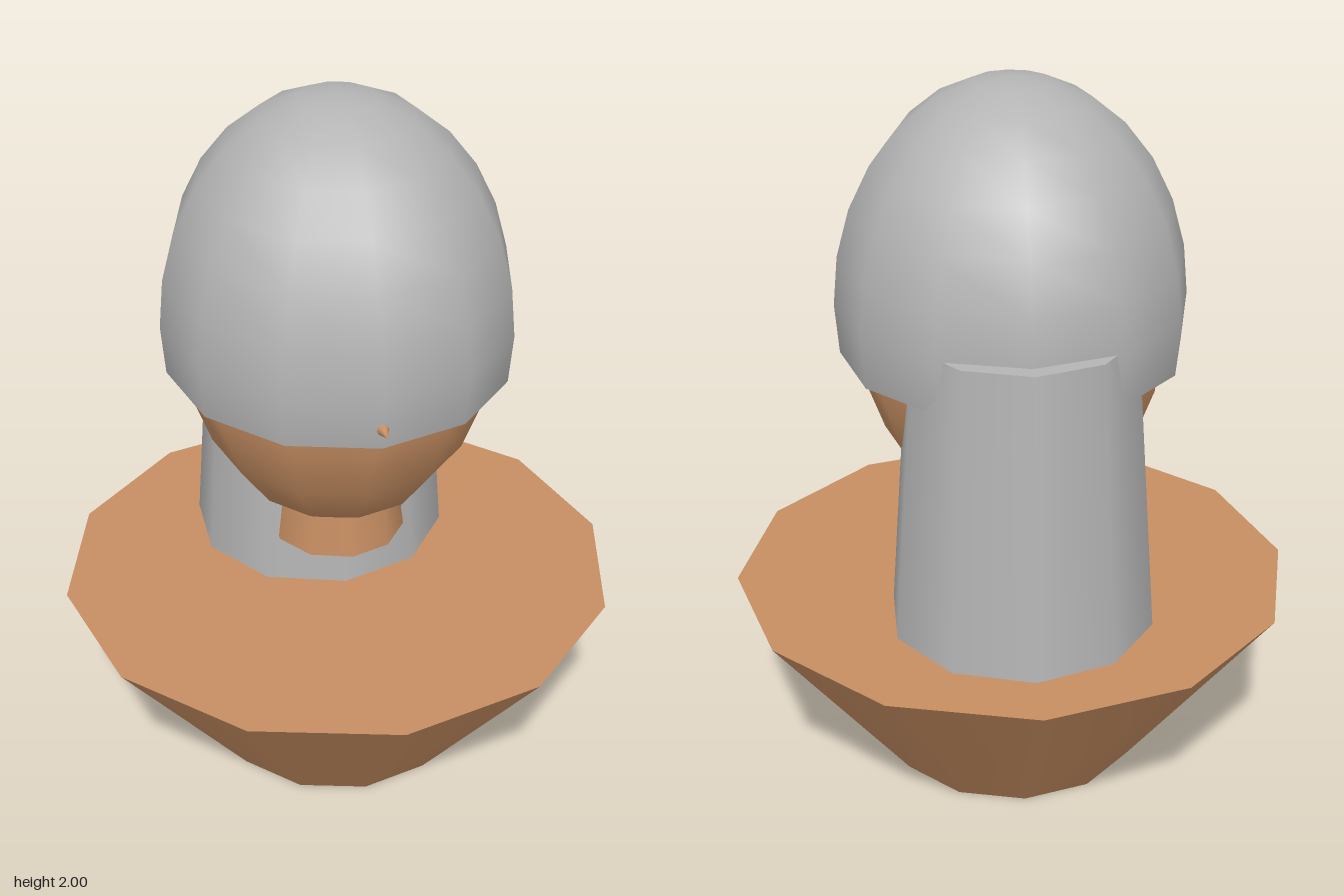
import * as THREE from 'three';

export function createModel() {
  const group = new THREE.Group();
  const tan = new THREE.MeshStandardMaterial({ name: 'tan', color: 0xc68e62 });
  const grey = new THREE.MeshStandardMaterial({ name: 'grey', color: 0xb4b4b4 });
  // the helmet is an open shell, so both of its sides show
  const shellGrey = grey;
  shellGrey.side = THREE.DoubleSide;

  function add(name, geometry, material, x, y, z) {
    const mesh = new THREE.Mesh(geometry, material);
    mesh.name = name;
    mesh.position.set(x, y, z);
    group.add(mesh);
    return mesh;
  }

  // tapered column standing on y0
  function column(name, material, topR, bottomR, y0, y1, z, sides) {
    return add(name, new THREE.CylinderGeometry(topR, bottomR, y1 - y0, sides), material, 0, (y0 + y1) / 2, z);
  }

  // flared pedestal
  column('pedestal', tan, 0.79, 0.37, 0, 0.56, 0, 12);

  // long rear column below the helmet
  column('backColumn', grey, 0.305, 0.367, 0.56, 1.4, -0.255, 10);

  // neck, reaching into the head
  column('neck', tan, 0.165, 0.19, 0.7, 0.9, 0, 10);

  // head
  const head = new THREE.SphereGeometry(1, 12, 10);
  head.scale(0.437, 0.61, 0.457);
  add('head', head, tan, 0, 1.38, 0);

  // helmet: ellipsoid cut off just below its widest ring
  const helmet = new THREE.SphereGeometry(1, 12, 8, 0, Math.PI * 2, 0, Math.acos(-0.21));
  helmet.scale(0.48, 0.62, 0.512);
  add('helmet', helmet, shellGrey, 0, 1.38, 0);

  // small stud on the brow
  const stud = new THREE.ConeGeometry(0.016, 0.04, 8);
  stud.rotateX(Math.PI / 2);
  add('browStud', stud, tan, 0, 1.307, 0.525);

  return group;
}
